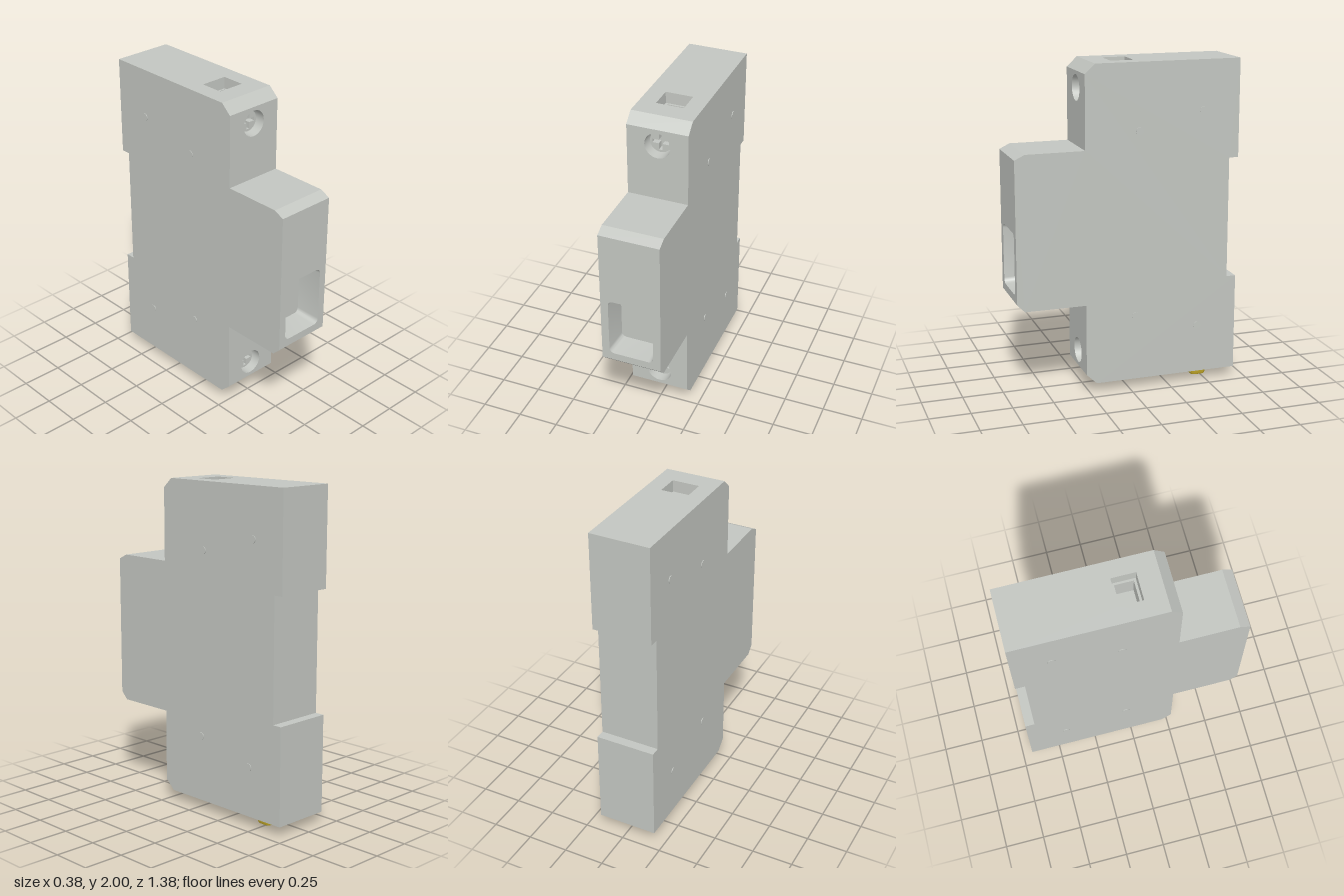
import * as THREE from 'three';
import { mergeGeometries, toCreasedNormals } from 'three/addons/utils/BufferGeometryUtils.js';

const HALF = 0.184; // half width of the housing

// Side outline as [z, y], from bottom back, forward, up and round
const OUTLINE = [
  [-0.688, 0.06], [0.21, 0.06], [0.273, 0.12], [0.273, 0.562], [0.648, 0.562], [0.694, 0.608],
  [0.694, 1.47], [0.632, 1.5], [0.273, 1.5], [0.273, 1.942], [0.21, 2], [-0.688, 2],
  [-0.688, 1.403], [-0.63, 1.403], [-0.63, 0.658], [-0.688, 0.658],
];

const V2 = (x, y) => new THREE.Vector2(x, y);

// Counter-clockwise rounded rectangle as points
function roundRect(w, h, r, steps = 5) {
  const pts = [];
  [[1, -1], [1, 1], [-1, 1], [-1, -1]].forEach(([sx, sy], q) => {
    for (let i = 0; i <= steps; i++) {
      const a = (q - 1 + i / steps) * Math.PI / 2;
      pts.push(V2(sx * (w / 2 - r) + r * Math.cos(a), sy * (h / 2 - r) + r * Math.sin(a)));
    }
  });
  return pts;
}

const rect = (w, h) => [V2(-w / 2, -h / 2), V2(w / 2, -h / 2), V2(w / 2, h / 2), V2(-w / 2, h / 2)];

function circle(r, n = 32) {
  return Array.from({ length: n }, (_, i) => V2(r * Math.cos(i * 2 * Math.PI / n), r * Math.sin(i * 2 * Math.PI / n)));
}

// Plus-shaped outline for the screw drive
function plus(a, b) {
  return [[b, -a], [b, -b], [a, -b], [a, b], [b, b], [b, a], [-b, a], [-b, b], [-a, b], [-a, -b], [-b, -b], [-b, -a]]
    .map(([x, y]) => V2(x, y));
}

// Inward-facing walls and floor behind a hole in a panel
function pocketGeometry(rim, depth, inset) {
  const box = new THREE.Box2().setFromPoints(rim).getSize(V2(0, 0));
  const floor = rim.map(p => V2(p.x * (1 - 2 * inset / box.x), p.y * (1 - 2 * inset / box.y)));
  const pos = [];
  rim.forEach((a, i) => {
    const j = (i + 1) % rim.length, b = rim[j], c = floor[j], d = floor[i];
    pos.push(a.x, a.y, 0, b.x, b.y, 0, c.x, c.y, -depth, a.x, a.y, 0, c.x, c.y, -depth, d.x, d.y, -depth);
  });
  const walls = new THREE.BufferGeometry();
  walls.setAttribute('position', new THREE.Float32BufferAttribute(pos, 3));
  walls.computeVertexNormals();
  const base = new THREE.ShapeGeometry(new THREE.Shape(floor)).toNonIndexed();
  base.deleteAttribute('uv');
  base.translate(0, 0, -depth);
  return toCreasedNormals(mergeGeometries([walls, base]), 0.6);
}

function ringSolid(outer, inner, depth, z) {
  const s = new THREE.Shape(outer);
  s.holes.push(new THREE.Path(inner));
  const g = new THREE.ExtrudeGeometry(s, { depth, bevelEnabled: false });
  return toCreasedNormals(g.translate(0, 0, z), 0.6);
}

export function createModel() {
  const model = new THREE.Group();
  model.name = 'circuitBreaker';
  const grey = new THREE.MeshStandardMaterial({ color: 0xc3c6c1 });
  grey.name = 'housing grey';
  const yellow = new THREE.MeshStandardMaterial({ color: 0xc4aa28 });
  yellow.name = 'clip yellow';

  const add = (name, geometry, material = grey, parent = model) => {
    const mesh = new THREE.Mesh(geometry, material);
    mesh.name = name;
    parent.add(mesh);
    return mesh;
  };

  // Recesses, keyed by outline edge; v is the distance along that edge
  const terminal = { name: 'terminalOpening', rim: rect(0.166, 0.142), depth: 0.2, inset: 0.002 };
  const screw = { name: 'screwHole', rim: circle(0.078), depth: 0.09, inset: 0.002 };
  const recesses = {
    0: { ...terminal, v: 0.703 },
    2: { ...screw, v: 0.1 },
    5: { name: 'switchWindow', rim: roundRect(0.275, 0.375, 0.032), depth: 0.15, inset: 0.014, v: 0.234 },
    8: { ...screw, v: 0.342 },
    10: { ...terminal, v: 0.195 },
  };

  // Housing walls, one panel for each outline edge
  const shell = [];
  OUTLINE.forEach(([z0, y0], i) => {
    const [z1, y1] = OUTLINE[(i + 1) % OUTLINE.length];
    const xAxis = new THREE.Vector3(1, 0, 0);
    const along = new THREE.Vector3(0, y1 - y0, z1 - z0);
    const len = along.length();
    along.normalize();
    const frame = new THREE.Matrix4().makeBasis(xAxis, along, xAxis.clone().cross(along)).setPosition(0, y0, z0);
    const panel = new THREE.Shape([V2(-HALF, 0), V2(HALF, 0), V2(HALF, len), V2(-HALF, len)]);
    const r = recesses[i];
    if (r) {
      panel.holes.push(new THREE.Path(r.rim.map(p => V2(p.x, p.y + r.v))));
      const group = new THREE.Group();
      group.name = r.name;
      frame.clone().multiply(new THREE.Matrix4().makeTranslation(0, r.v, 0))
        .decompose(group.position, group.quaternion, group.scale);
      model.add(group);
      add('recess', pocketGeometry(r.rim, r.depth, r.inset), grey, group);
      if (r.name === 'screwHole') {
        add('screwHead', ringSolid(circle(0.064), plus(0.05, 0.011), 0.04, -0.089), grey, group);
      } else if (r.name === 'terminalOpening') {
        add('clampFrame', ringSolid(rect(0.162, 0.138), rect(0.136, 0.11), 0.13, -0.199), grey, group);
      } else {
        add('switchPlate', new THREE.BoxGeometry(0.21, 0.31, 0.008).translate(0, 0, -0.146), grey, group);
      }
    }
    shell.push(new THREE.ShapeGeometry(panel).applyMatrix4(frame));
  });

  // Flat side faces
  for (const s of [1, -1]) {
    const side = new THREE.Shape(OUTLINE.map(([z, y]) => V2(-s * z, y)));
    shell.push(new THREE.ShapeGeometry(side).rotateY(s * Math.PI / 2).translate(s * HALF, 0, 0));
  }
  add('housing', mergeGeometries(shell));

  // Small round rivet pads on both sides
  for (const [z, y] of [[-0.46, 1.7], [-0.06, 1.597], [-0.04, 0.467], [-0.438, 0.362]]) {
    for (const s of [1, -1]) {
      const pad = add('rivetPad', new THREE.CylinderGeometry(0.023, 0.023, 0.008, 20));
      pad.rotation.z = Math.PI / 2;
      pad.position.set(s * HALF, y, z);
    }
  }

  // Rail release clip under the base
  const clip = new THREE.ExtrudeGeometry(new THREE.Shape(roundRect(0.196, 0.07, 0.012, 3)), {
    depth: 0.07, bevelThickness: 0.015, bevelSize: 0.014, bevelSegments: 2,
  });
  clip.rotateX(Math.PI / 2).translate(0, 0.085, -0.485);
  add('railClip', toCreasedNormals(clip, 0.5), yellow);

  return model;
}
